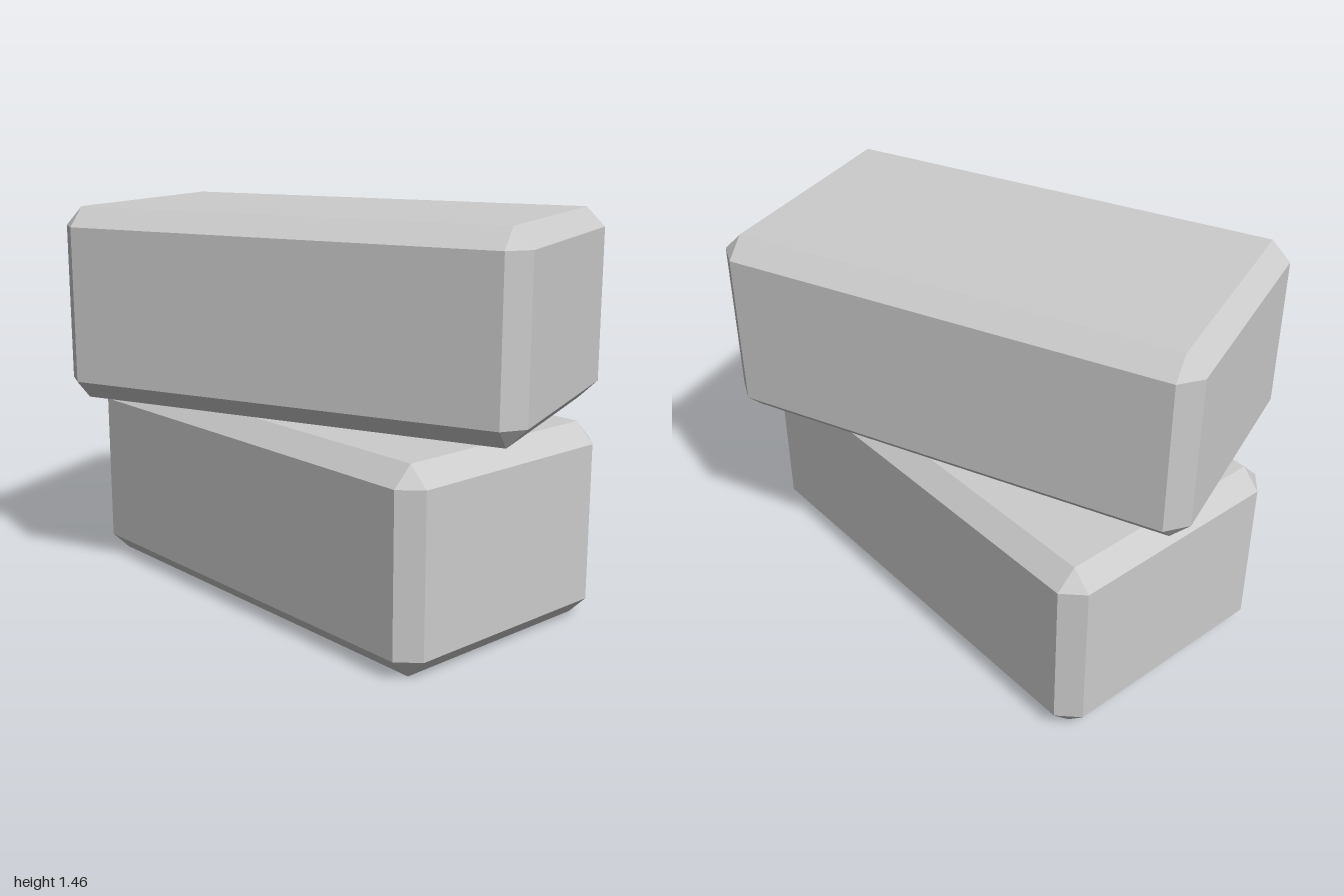
import * as THREE from 'three';
import { ConvexGeometry } from 'three/addons/geometries/ConvexGeometry.js';

// Box with every edge cut flat and a triangle at each corner
function bevelledBox(width, height, depth, bevel) {
  const x = width / 2, y = height / 2, z = depth / 2;
  const points = [];
  for (const sx of [-1, 1]) for (const sy of [-1, 1]) for (const sz of [-1, 1]) {
    points.push(
      new THREE.Vector3(sx * x, sy * (y - bevel), sz * (z - bevel)),
      new THREE.Vector3(sx * (x - bevel), sy * y, sz * (z - bevel)),
      new THREE.Vector3(sx * (x - bevel), sy * (y - bevel), sz * z)
    );
  }
  return new ConvexGeometry(points);
}

export function createModel() {
  const model = new THREE.Group();
  model.name = 'stackedBlocks';

  const height = 0.725, gap = 0.006;
  const geometry = bevelledBox(1.82, height, 0.978, 0.072);
  const material = new THREE.MeshStandardMaterial({ color: 0xcccccc, flatShading: true });

  // Two equal blocks, each turned about the vertical axis
  const blocks = [
    { name: 'lowerBlock', base: 0, turn: -0.35 },
    { name: 'upperBlock', base: height + gap, turn: 0.033 },
  ];
  for (const { name, base, turn } of blocks) {
    const block = new THREE.Mesh(geometry, material);
    block.name = name;
    block.position.y = base + height / 2;
    block.rotation.y = turn;
    model.add(block);
  }
  return model;
}
